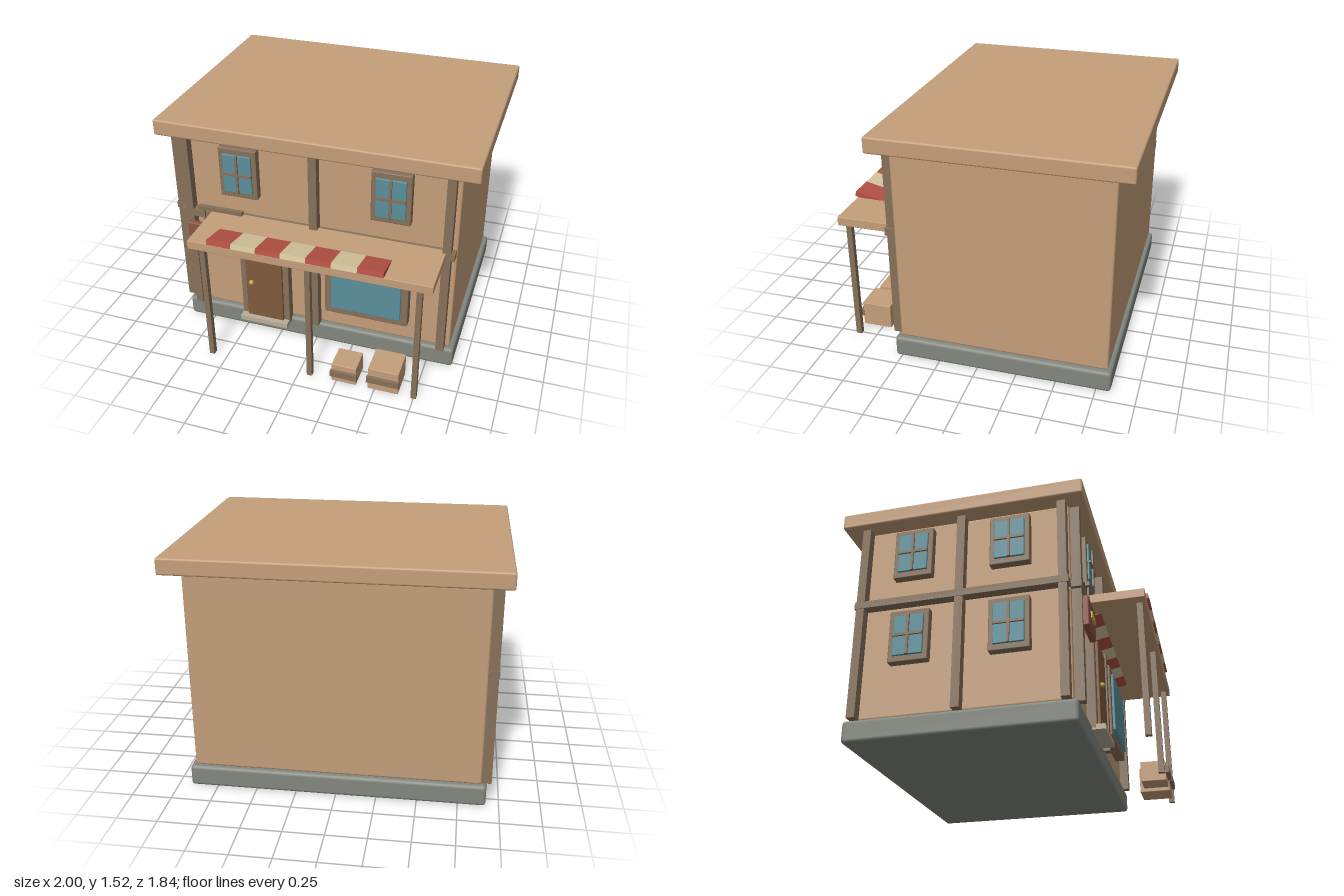
import * as THREE from 'three';
import { RoundedBoxGeometry } from 'three/addons/geometries/RoundedBoxGeometry.js';

const mat = (color) => new THREE.MeshStandardMaterial({ color });
const M = {
  plaster: mat(0xc49e7a), stone: mat(0x82877e), timber: mat(0x86715a), glass: mat(0x5a8f9b),
  door: mat(0x805a3b), red: mat(0xb65146), cream: mat(0xd8c8a0), sign: mat(0x8e5546),
  brass: mat(0xc8a850), sill: mat(0xb8ad98),
};

// Box given by its extents on each axis; an optional radius rounds the edges
function box(parent, name, material, [x0, x1], [y0, y1], [z0, z1], radius = 0) {
  const size = [x1 - x0, y1 - y0, z1 - z0];
  const geometry = radius ? new RoundedBoxGeometry(...size, 2, radius) : new THREE.BoxGeometry(...size);
  const mesh = new THREE.Mesh(geometry, material);
  mesh.name = name;
  mesh.position.set((x0 + x1) / 2, (y0 + y1) / 2, (z0 + z1) / 2);
  parent.add(mesh);
  return mesh;
}

function group(parent, name) {
  const g = new THREE.Group();
  g.name = name;
  parent.add(g);
  return g;
}

// Small window with a cross of glazing bars, facing +z from the wall at z = 0
function smallWindow(parent, name) {
  const g = group(parent, name);
  box(g, 'windowFrame', M.timber, [-0.123, 0.123], [-0.168, 0.168], [-0.01, 0.05], 0.006);
  box(g, 'windowGlass', M.glass, [-0.093, 0.093], [-0.13, 0.13], [0.04, 0.062], 0.004);
  box(g, 'verticalBar', M.timber, [-0.008, 0.008], [-0.13, 0.13], [0.05, 0.073]);
  box(g, 'horizontalBar', M.timber, [-0.093, 0.093], [-0.008, 0.008], [0.05, 0.073]);
  return g;
}

export function createModel() {
  const model = new THREE.Group();
  model.name = 'shopHouse';

  // Main volumes
  box(model, 'foundation', M.stone, [-0.92, 0.92], [0, 0.137], [-0.84, 0.54], 0.022);
  box(model, 'walls', M.plaster, [-0.89, 0.89], [0.137, 1.415], [-0.815, 0.51], 0.015);
  box(model, 'roof', M.plaster, [-1, 1], [1.415, 1.517], [-0.92, 0.615], 0.012);

  // Timber framing on the front and right walls
  const framing = group(model, 'timberFraming');
  for (const x of [-0.835, 0, 0.835])
    box(framing, 'frontPost', M.timber, [x - 0.026, x + 0.026], [0.14, 1.415], [0.505, 0.568]);
  box(framing, 'frontBeam', M.timber, [-0.885, 0.885], [0.845, 0.89], [0.505, 0.572]);
  for (const z of [-0.775, -0.15, 0.475])
    box(framing, 'sidePost', M.timber, [-0.95, -0.885], [0.14, 1.415], [z - 0.026, z + 0.026]);
  box(framing, 'sideBeam', M.timber, [-0.954, -0.885], [0.845, 0.89], [-0.81, 0.51]);

  // Small windows
  for (const [x, y] of [[-0.484, 1.2], [0.484, 1.2], [0.484, 0.632]])
    smallWindow(model, 'frontWindow').position.set(x, y, 0.51);
  for (const y of [0.632, 1.2])
    for (const z of [-0.455, 0.155]) {
      const w = smallWindow(model, 'sideWindow');
      w.position.set(-0.89, y, z);
      w.rotation.y = -Math.PI / 2;
    }

  // Shop window
  box(model, 'shopWindowFrame', M.timber, [0.075, 0.62], [0.285, 0.785], [0.5, 0.575], 0.006);
  box(model, 'shopWindowGlass', M.glass, [0.12, 0.575], [0.333, 0.735], [0.55, 0.592], 0.006);

  // Door
  const entrance = group(model, 'entrance');
  box(entrance, 'doorFrame', M.timber, [-0.508, -0.175], [0.11, 0.728], [0.5, 0.57], 0.006);
  box(entrance, 'door', M.door, [-0.465, -0.215], [0.135, 0.695], [0.54, 0.587], 0.005);
  box(entrance, 'doorSill', M.sill, [-0.508, -0.178], [0.104, 0.137], [0.51, 0.62]);
  const knob = new THREE.Mesh(new THREE.SphereGeometry(0.016, 16, 12), M.brass);
  knob.name = 'doorKnob';
  knob.position.set(-0.425, 0.415, 0.598);
  entrance.add(knob);

  // Hanging sign
  const sign = group(model, 'hangingSign');
  box(sign, 'signBracket', M.timber, [-0.757, -0.46], [0.918, 0.945], [0.57, 0.597]);
  box(sign, 'signRod', M.timber, [-0.731, -0.719], [0.8, 0.92], [0.577, 0.589]);
  box(sign, 'signBoard', M.sign, [-0.842, -0.61], [0.61, 0.805], [0.563, 0.602], 0.008);
  box(sign, 'signPlate', M.brass, [-0.777, -0.673], [0.689, 0.73], [0.595, 0.612]);

  // Porch
  const porch = group(model, 'porch');
  box(porch, 'porchRoof', M.plaster, [-0.688, 0.83], [0.835, 0.892], [0.53, 0.91], 0.004);
  for (const x of [-0.605, 0.072, 0.75])
    box(porch, 'porchPost', M.timber, [x - 0.017, x + 0.017], [0, 0.84], [0.853, 0.889]);

  // Striped awning, sloping up towards the front
  const awning = group(porch, 'awning');
  const stripe = 1.095 / 7;
  for (let i = 0; i < 7; i++) {
    const x = -0.55 + i * stripe;
    box(awning, 'awningStripe', i % 2 ? M.cream : M.red, [x, x + stripe], [-0.017, 0.017], [-0.205, 0.205]);
  }
  awning.position.set(0, 0.873, 0.72);
  awning.rotation.x = -0.22;

  // Crates with a slat on the front
  for (const [x, w, h, slatY] of [[0.3, 0.16, 0.132, 0.07], [0.554, 0.195, 0.163, 0.086]]) {
    const crate = group(model, 'crate');
    box(crate, 'crateBody', M.plaster, [x - w / 2, x + w / 2], [0, h], [0.885 - w, 0.885], 0.004);
    box(crate, 'crateSlat', M.timber, [x - w / 2 - 0.006, x + w / 2 + 0.006], [slatY - 0.021, slatY + 0.021], [0.88, 0.906]);
  }

  return model;
}
